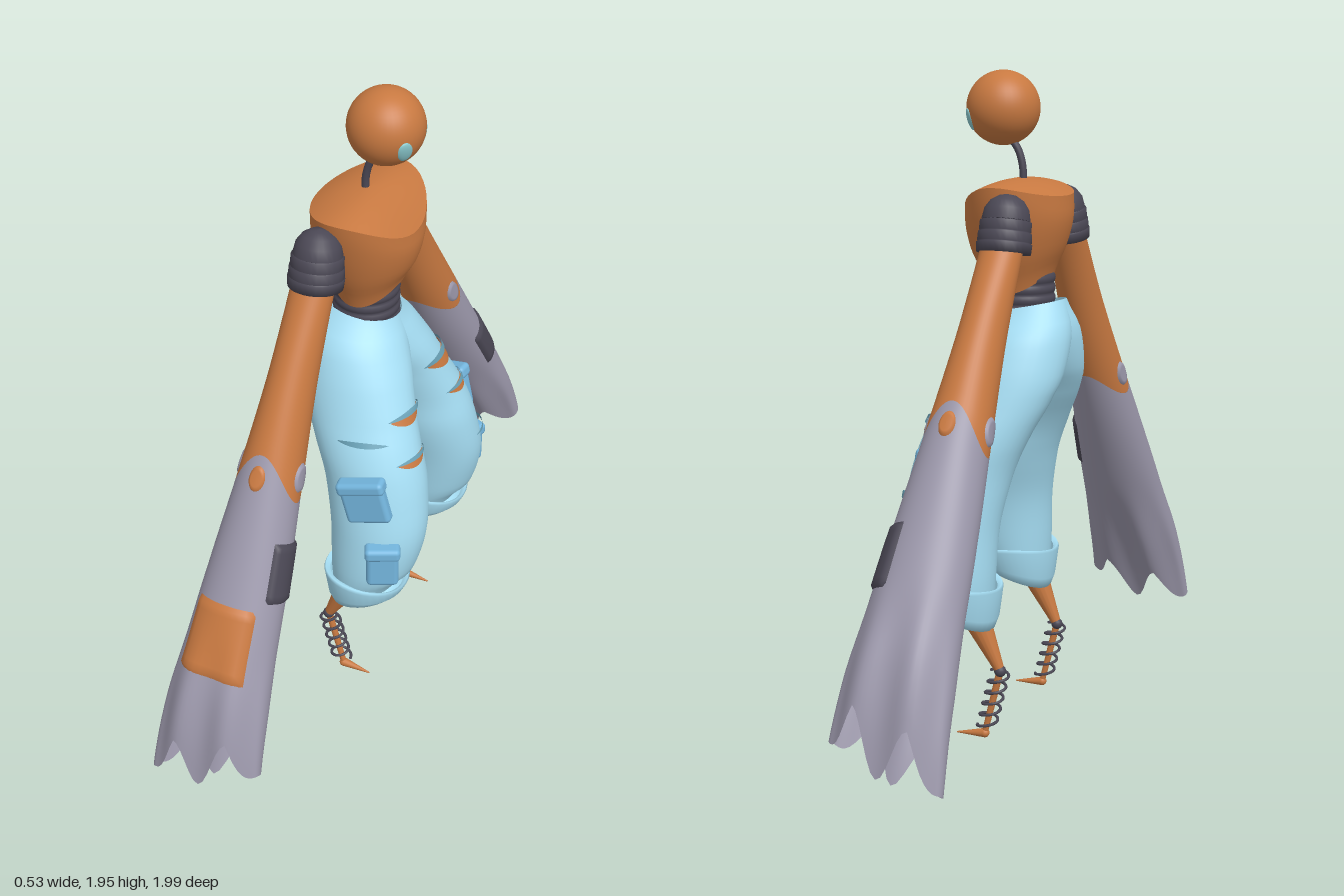
import * as THREE from 'three';
import { RoundedBoxGeometry } from 'three/addons/geometries/RoundedBoxGeometry.js';

const ZC = 0.025; // mirror plane; the figure looks towards +x
const V = (x, y, z) => new THREE.Vector3(x, y, z);
const paint = (color) => new THREE.MeshStandardMaterial({ color, side: THREE.DoubleSide });
const ORANGE = paint(0xc87941), GREY = paint(0x9c98ab), DARK = paint(0x4b4855);
const BLUE = paint(0xa6def4), POCKET = paint(0x74b6de), LIP = paint(0x6ba3b8), EYE = paint(0x8ccbd0);

function add(parent, name, geometry, material) {
  const m = new THREE.Mesh(geometry, material);
  m.name = name;
  parent.add(m);
  return m;
}

// Grid surface from f(u, v), u and v in 0..1; closed joins v = 1 back to v = 0
function surface(f, nu, nv, closed, flip) {
  const pos = [], idx = [], cols = closed ? nv : nv + 1;
  for (let i = 0; i <= nu; i++) for (let j = 0; j < cols; j++) pos.push(...f(i / nu, j / nv).toArray());
  for (let i = 0; i < nu; i++) for (let j = 0; j < nv; j++) {
    const a = i * cols + j, b = i * cols + (j + 1) % cols, c = a + cols, d = b + cols;
    if (flip) idx.push(a, c, b, b, c, d);
    else idx.push(a, b, c, b, d, c);
  }
  const g = new THREE.BufferGeometry();
  g.setAttribute('position', new THREE.Float32BufferAttribute(pos, 3));
  g.setIndex(idx);
  g.computeVertexNormals();
  return g;
}

// Smooth interpolation of table rows by their first column
function table(rows) {
  const dir = Math.sign(rows[1][0] - rows[0][0]), n = rows.length;
  return (key) => {
    let i = 0;
    while (i < n - 2 && (key - rows[i + 1][0]) * dir > 0) i++;
    const f = (key - rows[i][0]) / (rows[i + 1][0] - rows[i][0]);
    const p = rows[Math.max(i - 1, 0)], q = rows[i], r = rows[i + 1], s = rows[Math.min(i + 2, n - 1)];
    return q.map((_, k) => q[k] + 0.5 * f * (r[k] - p[k]
      + f * (2 * p[k] - 5 * q[k] + 4 * r[k] - s[k] + f * (3 * (q[k] - r[k]) + s[k] - p[k]))));
  };
}

// Raised shapes lying on a limb surface limb(u, angle, offset, side)
const TAU = Math.PI * 2;
const panel = (limb, s, u0, a0, du, da) => surface((u, v) => {
  const edge = u === 0 || u === 1 || v === 0 || v === 1;
  return limb(u0 + du * (2 * u - 1), a0 + da * (2 * v - 1), edge ? -0.004 : 0.008, s);
}, 12, 12, false, s < 0);
const oval = (limb, s, u0, a0, du, da) => surface((u, v) =>
  limb(u0 + du * u * Math.cos(v * TAU), a0 + da * u * Math.sin(v * TAU), u === 1 ? -0.002 : 0.006, s), 5, 24, true, s < 0);
const lens = (limb, s, y0, a0, hi, lo, da, off) => surface((u, v) => {
  const w = 2 * v - 1, k = 1 - w * w;
  return limb(y0 + k * (hi + (lo - hi) * u), a0 + da * w, off * k - 0.001, s);
}, 4, 16, false, s < 0);

// Trouser leg: y, centre x, half depth, centre z, half width, tilt
const legRow = table([
  [1.275, -0.035, 0.118, 0, 0.1, -0.022], [1.2, -0.035, 0.146, 0.033, 0.134, -0.01],
  [1.1, -0.015, 0.165, 0.077, 0.137, 0], [1.03, 0.008, 0.168, 0.112, 0.128, 0],
  [0.9, 0.06, 0.16, 0.16, 0.127, 0], [0.8, 0.095, 0.155, 0.18, 0.13, 0],
  [0.65, 0.118, 0.147, 0.21, 0.126, 0], [0.5, 0.108, 0.128, 0.225, 0.122, 0.01], [0.41, 0.085, 0.098, 0.225, 0.108, 0.03]]);
function leg(y, a, off, s) {
  const [, cx, rx, cz, rz, tilt] = legRow(y);
  return V(cx + (rx + off) * Math.cos(a), y + tilt * Math.cos(a), ZC + s * (cz + (rz + off) * Math.sin(a)));
}

// Arm: position along the arm, half breadth, half thickness
const armRow = table([[0, 0.06, 0.045], [0.25, 0.067, 0.075], [0.45, 0.09, 0.092], [0.65, 0.118, 0.098],
  [0.8, 0.136, 0.099], [0.92, 0.155, 0.093], [1.12, 0.172, 0.055]]);
function arm(t, a, off, s) {
  const [, rx, rn] = armRow(t);
  const start = V(-0.06, 1.56, ZC + s * 0.19), end = s > 0 ? V(-0.095, 0.28, 0.93) : V(-0.035, 0.3, -0.92);
  const d = end.sub(start), n = V(0, Math.abs(d.z), -s * d.y).normalize();
  const fold = 1 + 0.16 * THREE.MathUtils.smoothstep(t, 0.7, 1) * Math.cos(6 * a);
  const bend = -0.8 * Math.max(0, t - 0.85) ** 2 - 0.01 * Math.sin(Math.PI * Math.min(t, 1));
  return start.addScaledVector(d, t).addScaledVector(n, bend + (rn * fold + off) * Math.sin(a))
    .add(V((rx + off) * Math.cos(a), 0, 0));
}
const sleeveLine = (a) => 0.447 + 0.042 * Math.cos(2 * a);
// Three broad tips separated by two notches
const raggedEnd = (a) => 0.99 + 0.085 * Math.abs(Math.cos(Math.PI * Math.cos(a))) ** 1.3 - 0.03 * Math.cos(a)
  + 0.012 * Math.cos(9 * Math.cos(a));

function buildArm(root, s) {
  const g = new THREE.Group();
  g.name = s > 0 ? 'armA' : 'armB';
  root.add(g);
  add(g, 'upperArm', surface((u, v) => {
    const a = v * TAU;
    return arm(0.07 + (sleeveLine(a) - 0.07) * u, a, 0, s);
  }, 14, 48, true, s < 0), ORANGE);
  add(g, 'raggedForearm', surface((u, v) => {
    const a = v * TAU, b = sleeveLine(a);
    return arm(b + (raggedEnd(a) - b) * u, a, 0, s);
  }, 22, 72, true, s < 0), GREY);
  for (const a of [0, Math.PI]) add(g, 'elbowDot', oval(arm, s, 0.44, a, 0.03, 0.34), GREY);
  add(g, 'outerElbowDot', oval(arm, s, 0.45, Math.PI / 2, 0.026, 0.28), ORANGE);
  if (s > 0) {
    add(g, 'darkPatch', panel(arm, s, 0.625, 0.02, 0.062, 0.7), DARK);
    add(g, 'orangePatch', panel(arm, s, 0.775, 1.65, 0.078, 0.85), ORANGE);
  } else add(g, 'darkPatch', panel(arm, s, 0.7, 0.4, 0.065, 0.7), DARK);

  // Ribbed shoulder cap
  const pts = [[0.055, 0.002], [0.077, 0], [0.079, 0.028], [0.071, 0.03], [0.077, 0.032], [0.076, 0.058], [0.068, 0.06],
    [0.074, 0.062], [0.073, 0.09], [0.065, 0.092], [0.069, 0.094], [0.063, 0.125], [0.047, 0.148], [0.024, 0.162], [0, 0.166]];
  const cap = add(g, 'shoulderCap', new THREE.LatheGeometry(pts.map((p) => new THREE.Vector2(...p)), 28), DARK);
  cap.position.set(-0.06, 1.45, ZC + s * 0.238);
  cap.rotation.x = -s * 0.2;
}

function buildLeg(root, s) {
  const g = new THREE.Group();
  g.name = s > 0 ? 'legA' : 'legB';
  root.add(g);
  add(g, 'trouserLeg', surface((u, v) => leg(1.275 - 0.865 * u, v * TAU, 0, s), 32, 36, true, s < 0), BLUE);

  // Turned-up cuff: height, outward offset, front-to-back tilt
  const cuff = [[0.46, 0, -0.012], [0.468, 0.014, -0.012], [0.46, 0.018, -0.01], [0.4, 0.006, 0.022],
    [0.377, -0.006, 0.033], [0.385, -0.03, 0.03], [0.43, -0.08, 0.02]];
  add(g, 'cuff', surface((u, v) => {
    const [y, off, tilt] = cuff[Math.round(u * 6)], a = v * TAU;
    return V(0.087 + (0.112 + off) * Math.cos(a), y + tilt * Math.cos(a) - 0.014 * (1 - u) * Math.cos(2 * a),
      ZC + s * (0.227 + (0.114 + off) * Math.sin(a)));
  }, 6, 36, true, s < 0), BLUE);

  // Rips: y, angle, half height, half angle, open
  const rips = s > 0
    ? [[1.01, 0.12, 0.022, 0.55, 1], [0.895, 0.12, 0.018, 0.52, 1], [0.955, 1.25, 0.014, 0.45, 0]]
    : [[1.045, 0.25, 0.03, 0.72, 1], [0.93, 0.17, 0.02, 0.55, 1], [0.72, 0.52, 0.016, 0.45, 0]];
  for (const [y, a, h, da, open] of rips) {
    if (open) add(g, 'ripOpening', lens(leg, s, y, a, h * 0.8, -h * 0.9, da, 0.006), ORANGE);
    add(g, 'ripLip', lens(leg, s, y, a, h * 1.2, h * (open ? 0.45 : 0.1), da * 1.1, 0.014), LIP);
  }

  // Pockets with flaps: y, angle, width, height, roll
  for (const [y, a, w, h, roll] of [[0.8, 1.4, 0.135, 0.14, 0.24], [0.59, 1.08, 0.095, 0.135, 0]]) {
    const p = new THREE.Group(), [, , rx, , rz] = legRow(y);
    p.name = 'pocket';
    p.position.copy(leg(y, a, 0.004, s));
    p.lookAt(p.position.clone().add(V(Math.cos(a) / rx, 0, s * Math.sin(a) / rz)));
    p.rotateZ(s * roll);
    add(p, 'pocketBag', new RoundedBoxGeometry(w, h, 0.04, 3, 0.015), POCKET);
    add(p, 'pocketFlap', new RoundedBoxGeometry(w + 0.01, 0.042, 0.052, 3, 0.014), POCKET).position.y = h / 2 - 0.015;
    g.add(p);
  }

  // Thin shank, knee ball, peg, coil spring and pointed toe
  const z = ZC + s * 0.232, knee = V(-0.045, 0.215, z), ankle = V(0.005, 0.014, z);
  const rod = (name, from, to, r0, r1, mat) => {
    const d = to.clone().sub(from);
    const m = add(g, name, new THREE.CylinderGeometry(r1, r0, d.length(), 16), mat);
    m.position.copy(from).addScaledVector(d, 0.5);
    m.quaternion.setFromUnitVectors(V(0, 1, 0), d.normalize());
  };
  rod('shank', V(0.06, 0.43, z), knee, 0.052, 0.014, ORANGE);
  rod('peg', knee, ankle, 0.011, 0.009, ORANGE);
  rod('toe', ankle, V(0.095, 0.003, z), 0.014, 0.002, ORANGE);
  add(g, 'kneeBall', new THREE.SphereGeometry(0.018, 16, 12), DARK).position.copy(knee);
  add(g, 'heel', new THREE.SphereGeometry(0.014, 16, 12), ORANGE).position.copy(ankle);
  const coil = [];
  for (let i = 0; i <= 60; i++) {
    const f = i / 60, a = f * TAU * 5;
    coil.push(knee.clone().lerp(ankle, f * 0.88).add(V(0.029 * Math.cos(a), 0, 0.029 * Math.sin(a))));
  }
  add(g, 'spring', new THREE.TubeGeometry(new THREE.CatmullRomCurve3(coil), 160, 0.0045, 6), DARK);
}

export function createModel() {
  const root = new THREE.Group();
  root.name = 'figure';

  // Head with two oval eyes and a bent neck
  const head = V(0.04, 1.845, ZC);
  add(root, 'head', new THREE.SphereGeometry(0.108, 40, 28), ORANGE).position.copy(head);
  for (const s of [1, -1]) {
    const eye = add(root, 'eye', new THREE.SphereGeometry(1, 20, 14), EYE), n = V(0.8, -0.33, s * 0.57).normalize();
    eye.position.copy(head).addScaledVector(n, 0.103);
    eye.lookAt(eye.position.clone().add(n));
    eye.rotateZ(s * 0.25);
    eye.scale.set(0.023, 0.034, 0.009);
  }
  const neck = new THREE.CatmullRomCurve3([V(-0.022, 1.62, ZC), V(-0.02, 1.68, ZC), V(-0.004, 1.73, ZC), V(0.03, 1.77, ZC)]);
  add(root, 'neck', new THREE.TubeGeometry(neck, 16, 0.011, 12), DARK);

  // Torso tapering from a saddle-shaped rim: fraction, centre x, half depth, half width
  const body = table([[0, -0.012, 0.15, 0.205], [0.3, -0.012, 0.152, 0.188], [0.65, -0.01, 0.134, 0.155], [1, -0.01, 0.1, 0.11]]);
  const rim = (a) => 1.628 - Math.cos(a) ** 2 * (0.055 + 0.025 * Math.cos(a));
  add(root, 'torso', surface((u, v) => {
    const a = v * TAU, [, cx, rx, rz] = body(u), low = 1.365 - 0.05 * Math.sin(a) ** 2;
    return V(cx + rx * Math.cos(a), rim(a) + (low - rim(a)) * u, ZC + rz * Math.sin(a));
  }, 12, 48, true), ORANGE);
  add(root, 'torsoTop', surface((u, v) => {
    const a = v * TAU;
    return V(-0.012 + 0.15 * u * Math.cos(a), 1.645 + (rim(a) - 1.645) * u * u, ZC + 0.205 * u * Math.sin(a));
  }, 8, 48, true), ORANGE);

  // Ribbed waist
  const ribs = [];
  for (let i = 0; i <= 30; i++) ribs.push(new THREE.Vector2(0.093 + 0.005 * Math.abs(Math.sin(i * Math.PI / 6)), 1.22 + i * 0.005));
  ribs.push(new THREE.Vector2(0, 1.375));
  add(root, 'waist', new THREE.LatheGeometry(ribs, 32), DARK).position.set(-0.02, 0, ZC);

  for (const s of [1, -1]) {
    buildArm(root, s);
    buildLeg(root, s);
  }
  return root;
}
